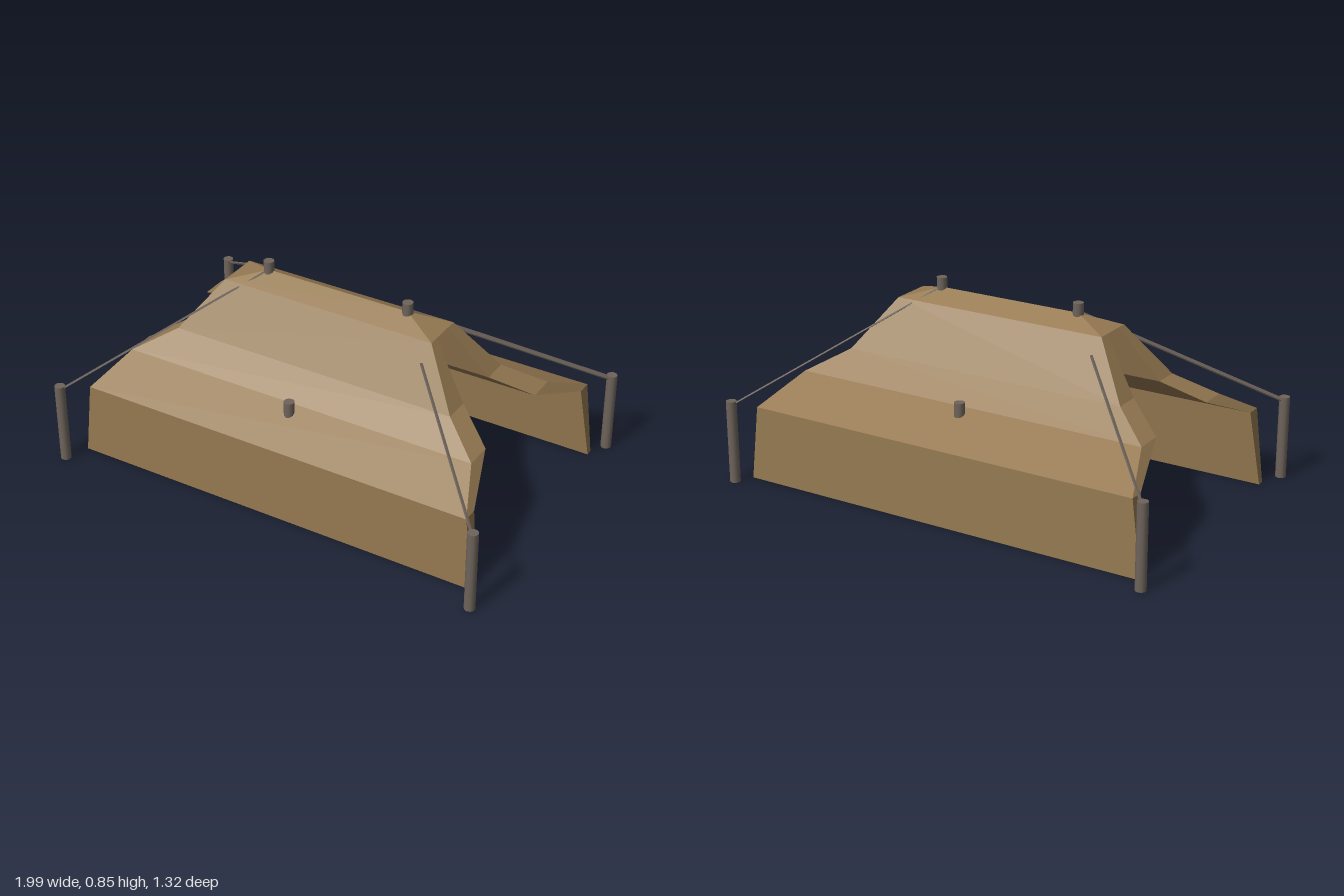
import * as THREE from 'three';

export function createModel() {
  const model = new THREE.Group();
  const canvas = new THREE.MeshStandardMaterial({ name: 'tan canvas', color: 0x967a52 });
  const wood = new THREE.MeshStandardMaterial({ name: 'grey wood', color: 0x6e645b });

  // Tent cloth: each row gives half length x, height y, outer and inner depth z
  function clothHalf(name, side, footShift) {
    const rows = [
      [0.935, 0, 0.535 + footShift, 0.505 + footShift],
      [0.895, 0.33, 0.535 + footShift, 0.47 + footShift],
      [0.81, 0.44, 0.34, 0.22],
      [0.65, 0.535, 0.222, 0.11],
      [0.49, 0.755, 0.093, 0.05],
    ].map(([x, y, zo, zi]) => ({ x, yo: y, yi: y, zo, zi }));
    rows.push({ x: 0.33, yo: 0.803, yi: 0.71, zo: 0, zi: 0 }); // ridge

    const positions = [];
    const tri = (a, b, c) => {
      for (const p of side > 0 ? [a, b, c] : [a, c, b]) positions.push(p[0], p[1], p[2] * side);
    };
    const quad = (a, b, c, d) => { tri(a, b, c); tri(a, c, d); };
    const outer = (r, e) => [e * r.x, r.yo, r.zo];
    const inner = (r, e) => [e * r.x, r.yi, r.zi];

    for (let i = 0; i < rows.length - 1; i++) {
      const a = rows[i], b = rows[i + 1];
      quad(outer(a, -1), outer(a, 1), outer(b, 1), outer(b, -1));
      quad(inner(a, 1), inner(a, -1), inner(b, -1), inner(b, 1));
      if (i < rows.length - 2) { // cut edges at the two openings
        quad(outer(a, 1), inner(a, 1), inner(b, 1), outer(b, 1));
        quad(inner(a, -1), outer(a, -1), outer(b, -1), inner(b, -1));
      }
    }
    // Foot of the wall
    quad(outer(rows[0], -1), inner(rows[0], -1), inner(rows[0], 1), outer(rows[0], 1));
    // Small hips above the openings
    const eave = rows[4], ridge = rows[5];
    for (const e of [1, -1]) {
      const mid = [e * eave.x, eave.yo, 0];
      const above = [outer(eave, e), mid, outer(ridge, e)];
      const below = [inner(eave, e), inner(ridge, e), mid];
      if (e < 0) { above.reverse(); below.reverse(); }
      tri(...above);
      tri(...below);
    }
    const g = new THREE.BufferGeometry();
    g.setAttribute('position', new THREE.Float32BufferAttribute(positions, 3));
    g.computeVertexNormals();
    const mesh = new THREE.Mesh(g, canvas);
    mesh.name = name;
    model.add(mesh);
  }
  clothHalf('frontCloth', 1, 0);
  clothHalf('backCloth', -1, 0.03);

  // Upright poles
  function pole(name, x, z, height) {
    const g = new THREE.CylinderGeometry(0.023, 0.023, height, 10);
    const mesh = new THREE.Mesh(g, wood);
    mesh.name = name;
    mesh.position.set(x, height / 2, z);
    model.add(mesh);
  }
  // Flat rope whose broad face leans outward along x
  function rope(name, from, to, width, thickness) {
    const a = new THREE.Vector3(...from), b = new THREE.Vector3(...to);
    const along = b.clone().sub(a);
    const length = along.length();
    along.normalize();
    const normal = new THREE.Vector3(-along.y, along.x, 0).normalize();
    const across = along.clone().cross(normal);
    const mesh = new THREE.Mesh(new THREE.BoxGeometry(length, thickness, width), wood);
    mesh.name = name;
    mesh.quaternion.setFromRotationMatrix(new THREE.Matrix4().makeBasis(along, normal, across));
    mesh.position.copy(a).add(b).multiplyScalar(0.5);
    model.add(mesh);
  }

  for (const s of [1, -1]) {
    pole(s > 0 ? 'leftRidgePole' : 'rightRidgePole', s * 0.33, 0, 0.847);
    pole(s > 0 ? 'frontMiddlePole' : 'backMiddlePole', 0, s * 0.377, 0.472);
    for (const t of [1, -1]) {
      const corner = (t > 0 ? 'front' : 'back') + (s > 0 ? 'Left' : 'Right');
      pole(corner + 'Post', s * 0.975, t * 0.635, 0.365);
      const foot = [s * 0.965, 0.352, t * 0.627];
      // One diagonal pair reaches the ridge, the other stops at the slope
      if (s * t < 0) rope(corner + 'Rope', foot, [s * 0.33, 0.806, 0], 0.022, 0.006);
      else rope(corner + 'Rope', foot, [s * 0.485, 0.698, t * 0.165], 0.01, 0.007);
    }
  }
  return model;
}
